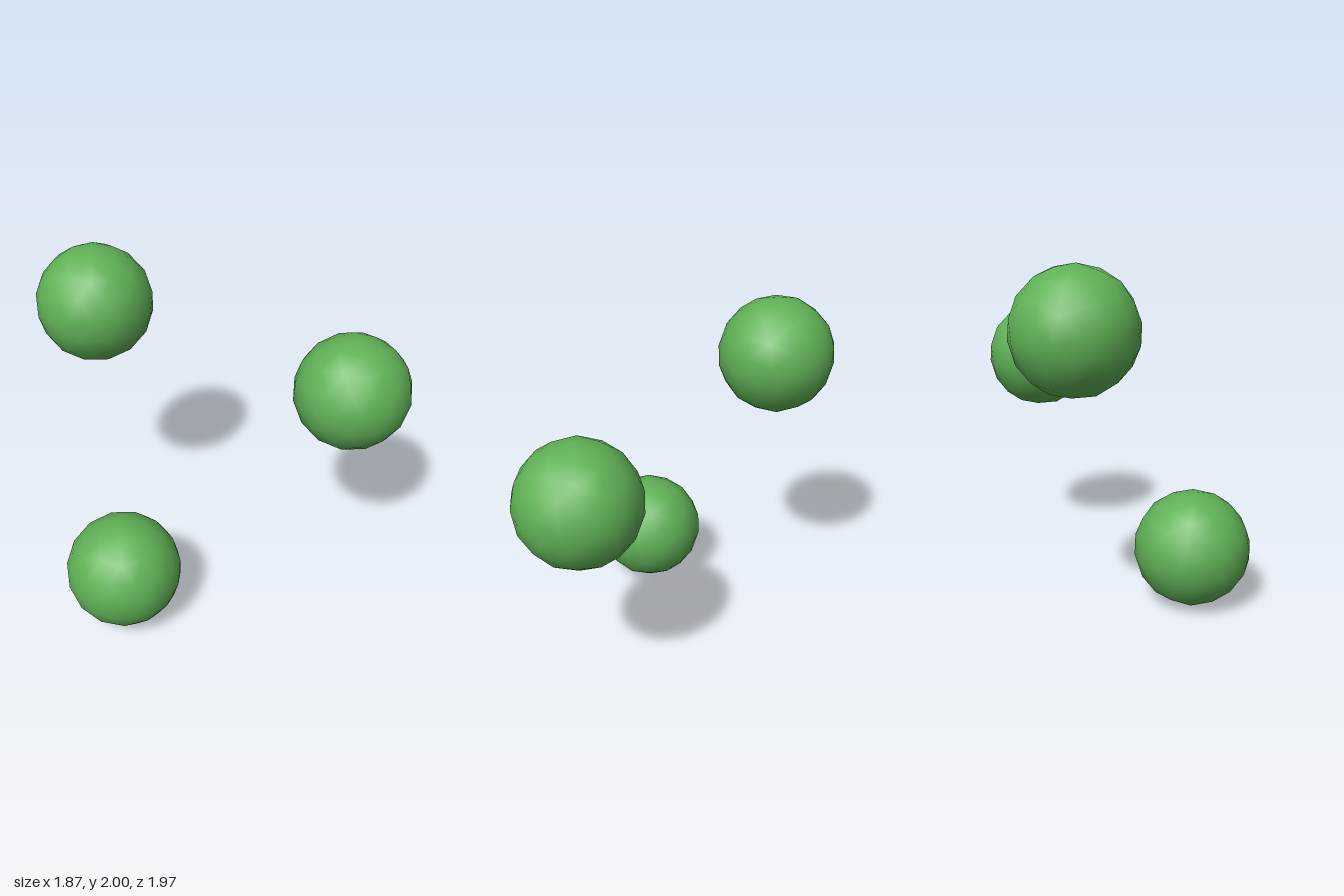
import * as THREE from 'three';

export function createModel() {
  const group = new THREE.Group();
  const leafGreen = new THREE.MeshStandardMaterial({ color: 0x60b156 });
  leafGreen.name = 'leafGreen';

  // Smooth-shaded low-poly ball, tilted within the diagonal plane
  const radius = 0.335;
  const tilt = THREE.MathUtils.degToRad(13.3);
  const s = Math.SQRT1_2;
  const side = new THREE.Vector3(s, 0, s);
  const up = new THREE.Vector3(-s * Math.sin(tilt), Math.cos(tilt), s * Math.sin(tilt));
  const third = new THREE.Vector3().crossVectors(up, side);
  const ball = new THREE.IcosahedronGeometry(radius, 2);
  ball.applyMatrix4(new THREE.Matrix4().makeBasis(side, third, up));

  // Three floating balls
  const balls = {
    upperBackBall: [-0.13, 1.665, -0.655],
    middleFrontBall: [0.6, 1.285, 0.65],
    lowerRightBall: [-0.605, 0.337, -0.006],
  };
  for (const [name, position] of Object.entries(balls)) {
    const mesh = new THREE.Mesh(ball, leafGreen);
    mesh.name = name;
    mesh.position.set(...position);
    group.add(mesh);
  }
  return group;
}
